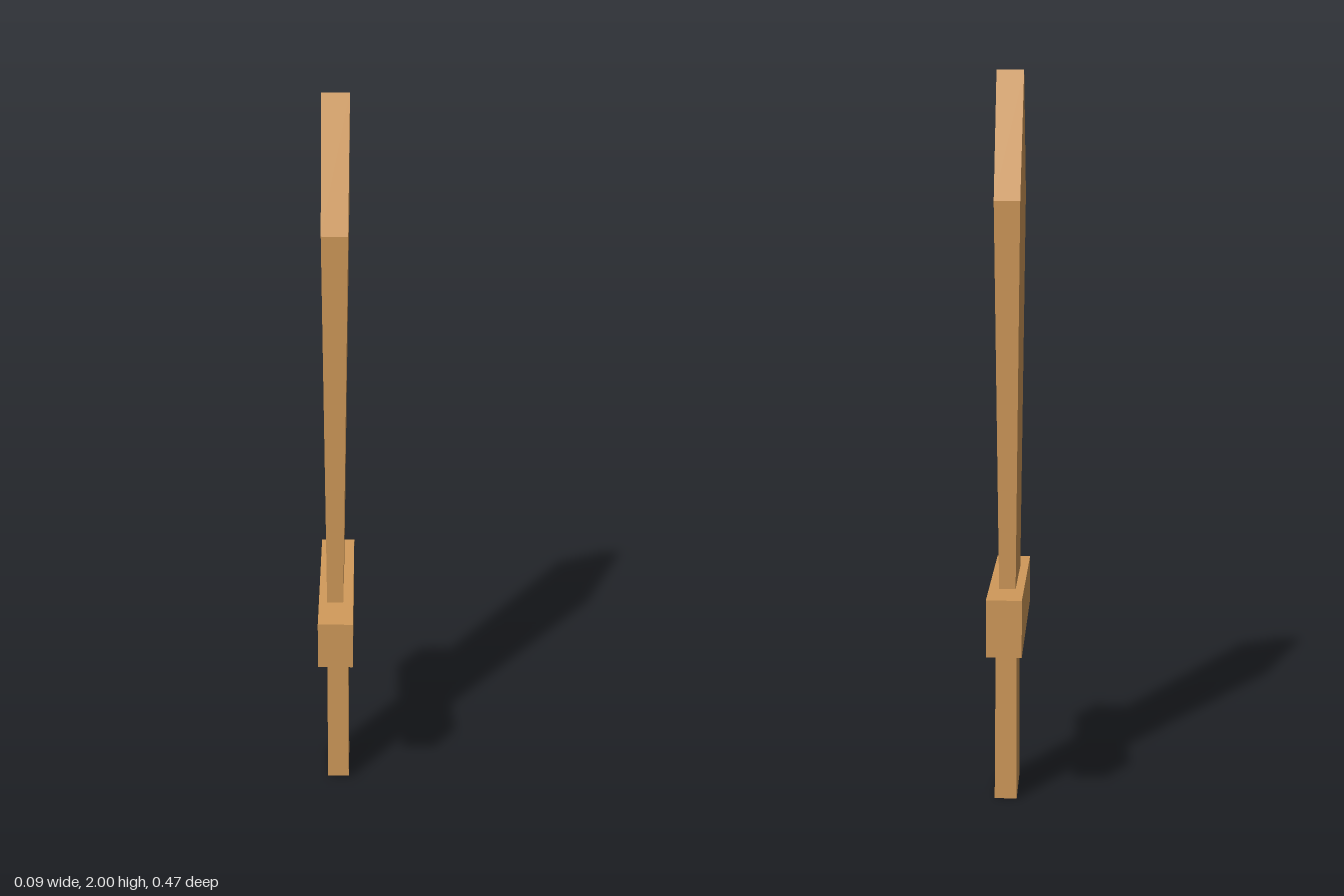
import * as THREE from 'three';

const wood = new THREE.MeshStandardMaterial({ color: 0xd19a5a });
wood.name = 'wood';

// Extrudes a side outline of [z, y] points along x; thickness lists rows of [y, xMin, xMax].
function slab(name, outline, thickness) {
  const shape = new THREE.Shape(outline.map(([z, y]) => new THREE.Vector2(-z, y)));
  const geo = new THREE.ExtrudeGeometry(shape, { depth: 1, bevelEnabled: false });
  geo.rotateY(Math.PI / 2);
  const pos = geo.attributes.position;
  for (let i = 0; i < pos.count; i++) {
    const y = pos.getY(i);
    let k = 0;
    while (k < thickness.length - 2 && y > thickness[k + 1][0]) k++;
    const [a, b] = [thickness[k], thickness[k + 1]];
    const t = THREE.MathUtils.clamp((y - a[0]) / (b[0] - a[0]), 0, 1);
    const side = pos.getX(i) > 0.5 ? 2 : 1;
    pos.setX(i, THREE.MathUtils.lerp(a[side], b[side], t));
  }
  geo.computeVertexNormals();
  const mesh = new THREE.Mesh(geo, wood);
  mesh.name = name;
  return mesh;
}

export function createModel() {
  const group = new THREE.Group();
  group.name = 'woodenSword';

  // Blade widens and thickens toward the pointed tip
  group.add(slab('blade',
    [[0.122, 0.6], [-0.121, 0.6], [-0.151, 1.67], [-0.004, 2], [0.142, 1.675]],
    [[0.6, -0.025, 0.019], [1.67, -0.038, 0.03], [2, -0.04, 0.032]]));

  // Slightly uneven crossguard
  group.add(slab('crossguard',
    [[0.238, 0.487], [-0.235, 0.474], [-0.235, 0.632], [0.238, 0.621]],
    [[0.474, -0.048, 0.047], [0.632, -0.048, 0.047]]));

  // Grip with a slanted end
  group.add(slab('grip',
    [[0.073, 0.01], [-0.07, 0], [-0.071, 0.5], [0.074, 0.5]],
    [[0, -0.026, 0.036], [0.5, -0.025, 0.032]]));

  return group;
}
